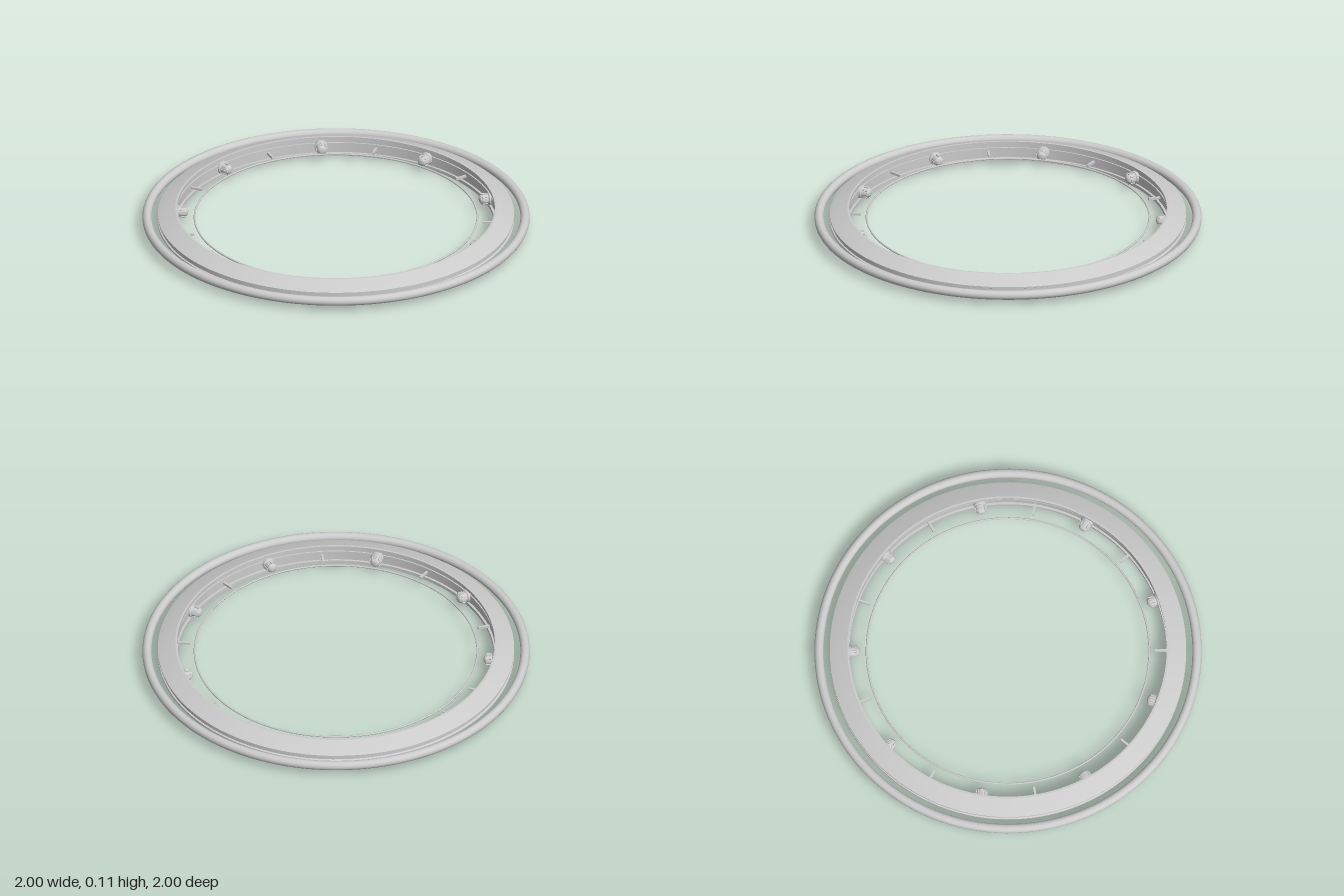
import * as THREE from 'three';
import { toCreasedNormals } from 'three/addons/utils/BufferGeometryUtils.js';

const MID = 0.055; // height of the middle plane

export function createModel() {
  const model = new THREE.Group();
  const material = new THREE.MeshStandardMaterial({ color: 0xcccccc });

  const add = (parent, geometry, name) => {
    const mesh = new THREE.Mesh(geometry, material);
    mesh.name = name;
    parent.add(mesh);
    return mesh;
  };
  const lathe = (points, segments) => toCreasedNormals(
    new THREE.LatheGeometry(points.map(([r, y]) => new THREE.Vector2(r, y)), segments), 0.3);
  const flatRing = (radius, tube, sides, name) => {
    const ring = add(model, new THREE.TorusGeometry(radius, tube, sides, 128), name);
    ring.rotation.x = Math.PI / 2;
    ring.position.y = MID;
    return ring;
  };

  // Round outer rim and thin inner wire
  flatRing(0.976, 0.024, 20, 'outerRim');
  flatRing(0.73, 0.005, 8, 'innerWire');

  // Main ring: sloped faces, grooved outer edge and stepped inner wall, mirrored about the middle
  const upper = [
    [0.912, 0.008], [0.92, 0.012], [0.92, 0.02], [0.9, 0.029], [0.83, 0.055], [0.82, 0.055],
    [0.82, 0.038], [0.832, 0.038], [0.832, 0.018], [0.825, 0.018],
  ];
  const lower = upper.map(([r, y]) => [r, -y]).reverse();
  const profile = [...upper, ...lower, upper[0]];
  add(model, lathe(profile, 128), 'mainRing').position.y = MID;

  // Lamp profile, from its foot on the wall to its domed tip
  const lampProfile = [
    [0, 0], [0.034, 0], [0.034, 0.014], [0.027, 0.019], [0.025, 0.05],
    [0.02, 0.058], [0.012, 0.063], [0, 0.065],
  ];
  const lampBody = lathe(lampProfile, 20);
  const rib = new THREE.BoxGeometry(0.007, 0.026, 0.008);
  const pin = new THREE.BoxGeometry(0.012, 0.062, 0.012);

  for (let i = 0; i < 9; i++) {
    // Ribbed lamp pointing at the centre
    const lampArm = new THREE.Group();
    lampArm.name = 'lampArm';
    lampArm.rotation.y = i * Math.PI * 2 / 9;
    model.add(lampArm);
    const lamp = new THREE.Group();
    lamp.name = 'lamp';
    lamp.position.set(0, MID, -0.83);
    lamp.rotation.x = Math.PI / 2;
    lampArm.add(lamp);
    add(lamp, lampBody, 'lampBody');
    for (let k = 0; k < 8; k++) {
      const a = k * Math.PI / 4;
      const mesh = add(lamp, rib, 'lampRib');
      mesh.position.set(Math.cos(a) * 0.027, 0.037, Math.sin(a) * 0.027);
      mesh.rotation.y = -a;
    }

    // Short pin halfway between lamps
    const pinArm = new THREE.Group();
    pinArm.name = 'pinArm';
    pinArm.rotation.y = (i + 0.5) * Math.PI * 2 / 9;
    model.add(pinArm);
    const mesh = add(pinArm, pin, 'pin');
    mesh.position.set(0, MID, -0.79);
    mesh.rotation.x = Math.PI / 2;
  }
  return model;
}
